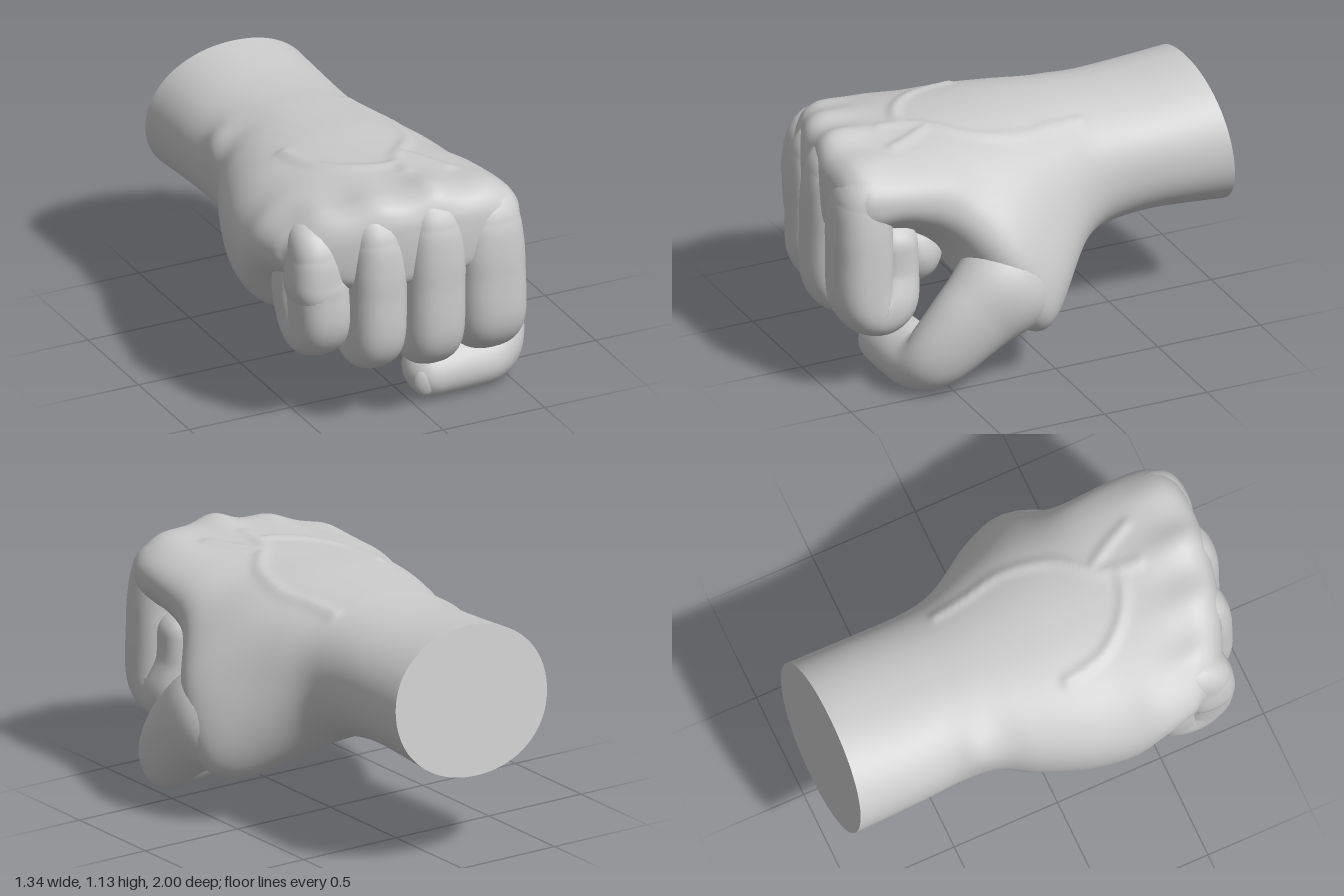
import * as THREE from 'three';

const skinMaterial = new THREE.MeshStandardMaterial({ color: 0xcccccc });

// Catmull-Rom interpolation of whole rows of numbers, t from 0 to 1
function sample(rows, t) {
  const p = Math.min(Math.max(t, 0), 1) * (rows.length - 1);
  const i = Math.min(Math.floor(p), rows.length - 2), f = p - i;
  const row = k => rows[Math.min(Math.max(k, 0), rows.length - 1)];
  return rows[0].map((_, c) => {
    const [a, b, d, e] = [row(i - 1)[c], row(i)[c], row(i + 1)[c], row(i + 2)[c]];
    return b + 0.5 * f * (d - a + f * (2 * a - 5 * b + 4 * d - e + f * (3 * (b - d) + e - a)));
  });
}

// Points round a superellipse with half sizes 1
function superellipse(sides, n) {
  return Array.from({ length: sides }, (_, j) => {
    const c = Math.cos(j / sides * Math.PI * 2), s = Math.sin(j / sides * Math.PI * 2);
    return [Math.sign(c) * Math.abs(c) ** (2 / n), Math.sign(s) * Math.abs(s) ** (2 / n)];
  });
}

// Joins closed rings into a smooth skin with a crisp flat cap at each end
function skin(name, rings) {
  const pos = [], index = [], m = rings[0].length;
  rings.forEach(r => r.forEach(p => pos.push(p.x, p.y, p.z)));
  for (let i = 0; i < rings.length - 1; i++) {
    for (let j = 0; j < m; j++) {
      const a = i * m + j, b = i * m + (j + 1) % m;
      index.push(a, b, a + m, b, b + m, a + m);
    }
  }
  [rings[0], rings[rings.length - 1]].forEach((ring, end) => {
    const base = pos.length / 3, centre = new THREE.Vector3();
    ring.forEach(p => { pos.push(p.x, p.y, p.z); centre.addScaledVector(p, 1 / m); });
    pos.push(centre.x, centre.y, centre.z);
    for (let j = 0; j < m; j++) {
      const a = base + j, b = base + (j + 1) % m;
      index.push(base + m, end ? a : b, end ? b : a);
    }
  });
  const geometry = new THREE.BufferGeometry();
  geometry.setAttribute('position', new THREE.Float32BufferAttribute(pos, 3));
  geometry.setIndex(index);
  geometry.computeVertexNormals();
  const mesh = new THREE.Mesh(geometry, skinMaterial);
  mesh.name = name;
  return mesh;
}

// Round-ended limb; rows are [x, y, z, half size along ref, half size across]
function limb(name, rows, ref, n, steps) {
  const rings = [], outline = superellipse(36, n);
  const addRing = (t, bulge) => {
    const [x, y, z, a, b] = sample(rows, t);
    const p = sample(rows, t - 0.01), q = sample(rows, t + 0.01);
    const dir = new THREE.Vector3(q[0] - p[0], q[1] - p[1], q[2] - p[2]).normalize();
    const u = ref.clone().addScaledVector(dir, -ref.dot(dir)).normalize();
    const v = dir.clone().cross(u);
    const centre = new THREE.Vector3(x, y, z).addScaledVector(dir, Math.sin(bulge) * Math.min(a, b));
    const k = Math.max(Math.cos(bulge), 0.02);
    rings.push(outline.map(([c, s]) =>
      centre.clone().addScaledVector(u, c * a * k).addScaledVector(v, s * b * k)));
  };
  for (let i = 8; i > 0; i--) addRing(0, -i / 8 * Math.PI / 2);
  for (let i = 0; i <= steps; i++) addRing(i / steps, 0);
  for (let i = 1; i <= 8; i++) addRing(1, i / 8 * Math.PI / 2);
  return skin(name, rings);
}

// Forearm to knuckles: z, left x, right x, bottom, top, tilt, roundness, z skew by x, z slant by y
const BODY = [
  [-0.955, -0.49, 0.325, 0.415, 1.085, 0, 2.1, 0, 0.13],
  [-0.65, -0.48, 0.32, 0.45, 1.06, 0, 2.2, 0, 0.03],
  [-0.42, -0.465, 0.32, 0.44, 1.06, 0, 2.2, 0, 0],
  [-0.27, -0.48, 0.335, 0.42, 1.07, 0, 2.2, 0, 0],
  [-0.1, -0.56, 0.39, 0.37, 1.08, 0.02, 2.2, 0, 0],
  [0.1, -0.63, 0.44, 0.35, 1.09, 0.04, 2.2, 0, 0],
  [0.3, -0.665, 0.45, 0.39, 1.09, 0.06, 2.2, 0, 0],
  [0.47, -0.67, 0.455, 0.57, 1.09, 0.07, 2.2, 0.02, 0],
  [0.68, -0.645, 0.46, 0.66, 1.09, 0.08, 2.2, 0.08, 0],
  [0.82, -0.61, 0.45, 0.67, 1.09, 0.08, 2.3, 0.16, 0],
  [0.89, -0.58, 0.42, 0.69, 1.065, 0.08, 2.3, 0.18, 0],
  [0.93, -0.49, 0.35, 0.73, 1.01, 0.08, 2.3, 0.18, 0],
  [0.942, -0.3, 0.16, 0.8, 0.94, 0.08, 2.2, 0.18, 0],
  [0.945, -0.075, -0.065, 0.865, 0.875, 0.08, 2, 0.18, 0],
];

// Soft swellings: centre x, y, z, radius in x and y, radius in z, push x, y, z
const SWELLINGS = [
  [0.35, 0.48, 0.12, 0.28, 0.29, 0.25, -0.17, 0],      // ball of the thumb
  [0.26, 0.38, 0.05, 0.2, 0.22, 0.02, -0.1, 0],
  [0.44, 0.72, 0.27, 0.17, 0.17, 0.07, 0, 0],          // web of the thumb
  [-0.42, 0.46, 0.08, 0.24, 0.25, 0.03, -0.08, 0],     // heel of the hand
  [-0.42, 0.86, -0.35, 0.13, 0.09, -0.025, 0.025, 0],  // wrist bone
  [0.3, 1.08, 0.82, 0.1, 0.17, 0, 0.02, 0],            // four knuckles
  [0.02, 1.1, 0.82, 0.08, 0.17, 0, 0.035, 0.01],
  [-0.235, 1.07, 0.76, 0.08, 0.15, 0, 0.02, 0.01],
  [-0.475, 1.01, 0.68, 0.08, 0.13, 0, 0.02, 0],
];

// Veins across the back of the hand, as x, z paths
const VEINS = [
  [[0.18, -0.28], [0.2, -0.12], [0.23, 0.06], [0.18, 0.28], [0.04, 0.46], [0.01, 0.62]],
  [[-0.35, 0.12], [-0.31, 0.3], [-0.2, 0.44], [-0.06, 0.52], [0.02, 0.51]],
  [[0.07, 0.42], [0.14, 0.53], [0.2, 0.65]],
].flatMap(path => Array.from({ length: 50 }, (_, i) => sample(path, i / 49)));

function swell(p) {
  const from = p.clone();
  for (const [x, y, z, r, rz, px, py, pz] of SWELLINGS) {
    const d = ((from.x - x) ** 2 + (from.y - y) ** 2) / r ** 2 + ((from.z - z) / rz) ** 2;
    p.addScaledVector(new THREE.Vector3(px, py, pz), Math.exp(-d));
  }
  if (from.y > 0.9) {
    const d = Math.min(...VEINS.map(([x, z]) => (from.x - x) ** 2 + (from.z - z) ** 2));
    p.y += 0.013 * Math.exp(-d / 0.027 ** 2);
  }
  return p;
}

function handBody() {
  const rings = [];
  for (let i = 0; i <= 182; i++) {
    const [z, l, r, bottom, top, tilt, n, skew, slant] = sample(BODY, i / 182);
    rings.push(superellipse(180, n).map(([c, s]) => {
      const dx = c * (r - l) / 2, dy = s * (top - bottom) / 2;
      return swell(new THREE.Vector3(
        (l + r) / 2 + dx,
        (bottom + top) / 2 + dy + tilt * dx,
        z + skew * (dx - 1.7 * dx * dx) + slant * dy));
    }));
  }
  return skin('palmAndForearm', rings);
}

export function createModel() {
  const hand = new THREE.Group();
  hand.name = 'fist';
  const sideways = new THREE.Vector3(1, 0, 0);
  hand.add(handBody());

  // Curled fingers: x at knuckle, x at bend, half width, front z, bottom, top
  const fingers = {
    indexFinger: [0.29, 0.3, 0.16, 1.0, 0.265, 1.09],
    middleFinger: [0.02, 0.015, 0.14, 1.0, 0.25, 1.12],
    ringFinger: [-0.235, -0.24, 0.13, 0.95, 0.26, 1.075],
    littleFinger: [-0.485, -0.46, 0.134, 0.85, 0.325, 1.01],
  };
  for (const [name, [x, bx, w, f, bottom, top]] of Object.entries(fingers)) {
    const tipX = bx - w * 0.15;
    hand.add(limb(name, [
      [x * 0.97, top - 0.2, f - 0.36, w * 0.6, 0.11],
      [x, top - 0.155, f - 0.19, w * 0.85, 0.135],
      [x, top - 0.2, f - 0.15, w * 0.93, 0.135],
      [x, top - 0.3, f - 0.14, w, 0.138],
      [(x + bx) / 2, (bottom + top) / 2, f - 0.14, w, 0.14],
      [bx, bottom + 0.2, f - 0.145, w, 0.14],
      [bx, bottom + 0.13, f - 0.2, w * 0.98, 0.13],
      [bx, bottom + 0.16, f - 0.27, w * 0.97, 0.125],
      [tipX, bottom + 0.28, f - 0.3, w * 0.9, 0.115],
      [tipX, bottom + 0.42, f - 0.3, w * 0.85, 0.11],
    ], sideways, 2.4, 72));
  }

  // Fingertips pressed into the palm, seen inside the curl
  hand.add(limb('palmCushion', [
    [-0.32, 0.6, 0.47, 0.13, 0.12],
    [-0.1, 0.56, 0.52, 0.15, 0.13],
    [0.15, 0.55, 0.53, 0.15, 0.13],
  ], new THREE.Vector3(0, 1, 0), 2, 24));

  // Thumb growing out of its ball and folded under the fingers
  hand.add(limb('thumb', [
    [0.36, 0.49, 0.06, 0.13, 0.09],
    [0.46, 0.46, 0.21, 0.23, 0.195],
    [0.495, 0.345, 0.39, 0.2, 0.15],
    [0.475, 0.185, 0.56, 0.16, 0.125],
    [0.4, 0.132, 0.62, 0.127, 0.135],
    [0.25, 0.13, 0.635, 0.122, 0.14],
    [0.11, 0.122, 0.635, 0.115, 0.135],
  ], new THREE.Vector3(0, 0.8, 0.6), 2.1, 64));

  // Nail at the end of the thumb
  const nail = new THREE.Mesh(new THREE.SphereGeometry(1, 24, 16), skinMaterial);
  nail.name = 'thumbnail';
  nail.position.set(0.05, 0.095, 0.715);
  nail.scale.set(0.05, 0.065, 0.03);
  nail.rotation.y = -0.5;
  hand.add(nail);
  return hand;
}
